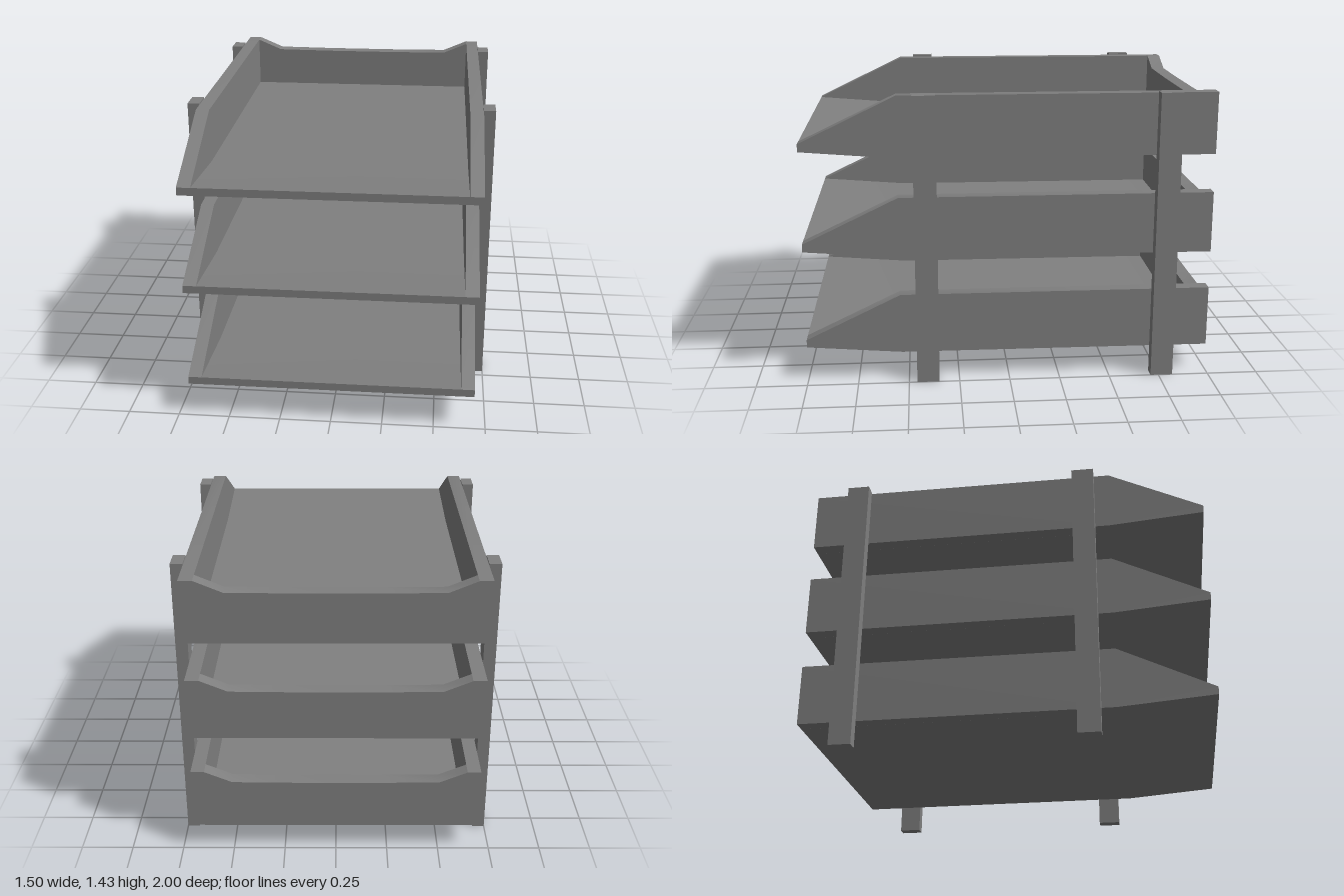
import * as THREE from 'three';
import { toCreasedNormals } from 'three/addons/utils/BufferGeometryUtils.js';

const material = new THREE.MeshStandardMaterial({ color: 0x808080 });
const LEVELS = [0.14, 0.632, 1.125]; // height of each tray
const HALF = 0.692, INNER = 0.627;   // outer and inner half widths of a tray
const BACK = -0.93;                  // inner face of the back wall

function addMesh(group, name, geometry) {
  const mesh = new THREE.Mesh(geometry, material);
  mesh.name = name;
  group.add(mesh);
  return mesh;
}

// Extrudes an outline, smoothing its gentle bends and keeping its corners sharp
function extrude(points, depth) {
  const shape = new THREE.Shape(points.map(([x, y]) => new THREE.Vector2(x, y)));
  return toCreasedNormals(new THREE.ExtrudeGeometry(shape, { depth, bevelEnabled: false }), 0.5);
}

// Extrudes a side profile of [z, y] points across x0..x1
function acrossX(profile, x0, x1) {
  return extrude(profile.map(([z, y]) => [-z, y]), x1 - x0)
    .rotateY(Math.PI / 2)
    .translate(x0, 0, 0);
}

function createTray() {
  const tray = new THREE.Group();

  // Thin floor, bending up to a lip at the front
  addMesh(tray, 'floor', acrossX([
    [BACK, -0.004], [0.53, -0.001], [1, 0.037],
    [1, 0.075], [0.53, 0.037], [BACK, 0.034],
  ], -INNER, INNER));

  // Side walls, sloping down to the front lip
  const side = [[-1, -0.004], [0.53, -0.001], [1, 0.037], [1, 0.075], [0.535, 0.299], [-1, 0.299]];
  addMesh(tray, 'leftWall', acrossX(side, INNER, HALF));
  addMesh(tray, 'rightWall', acrossX(side, -HALF, -INNER));

  // Back wall with a lowered middle
  const back = [
    [-INNER, -0.004], [INNER, -0.004], [INNER, 0.299], [0.495, 0.243],
    [0.2, 0.24], [-0.2, 0.24], [-0.495, 0.243], [-INNER, 0.299],
  ];
  addMesh(tray, 'backWall', extrude(back, BACK + 1).translate(0, 0, -1));
  return tray;
}

export function createModel() {
  const model = new THREE.Group();
  model.name = 'letterTrayStack';

  // Three stacked trays
  LEVELS.forEach((y, i) => {
    const tray = createTray();
    tray.name = `tray${i + 1}`;
    tray.position.y = y;
    model.add(tray);
  });

  // Four upright posts outside the side walls
  for (const [sideName, s] of [['Left', 1], ['Right', -1]]) {
    for (const [endName, z] of [['front', 0.405], ['back', -0.765]]) {
      addMesh(model, `${endName}${sideName}Post`, new THREE.BoxGeometry(0.058, 1.432, 0.11))
        .position.set(s * 0.721, 0.716, z);
    }
  }
  return model;
}
